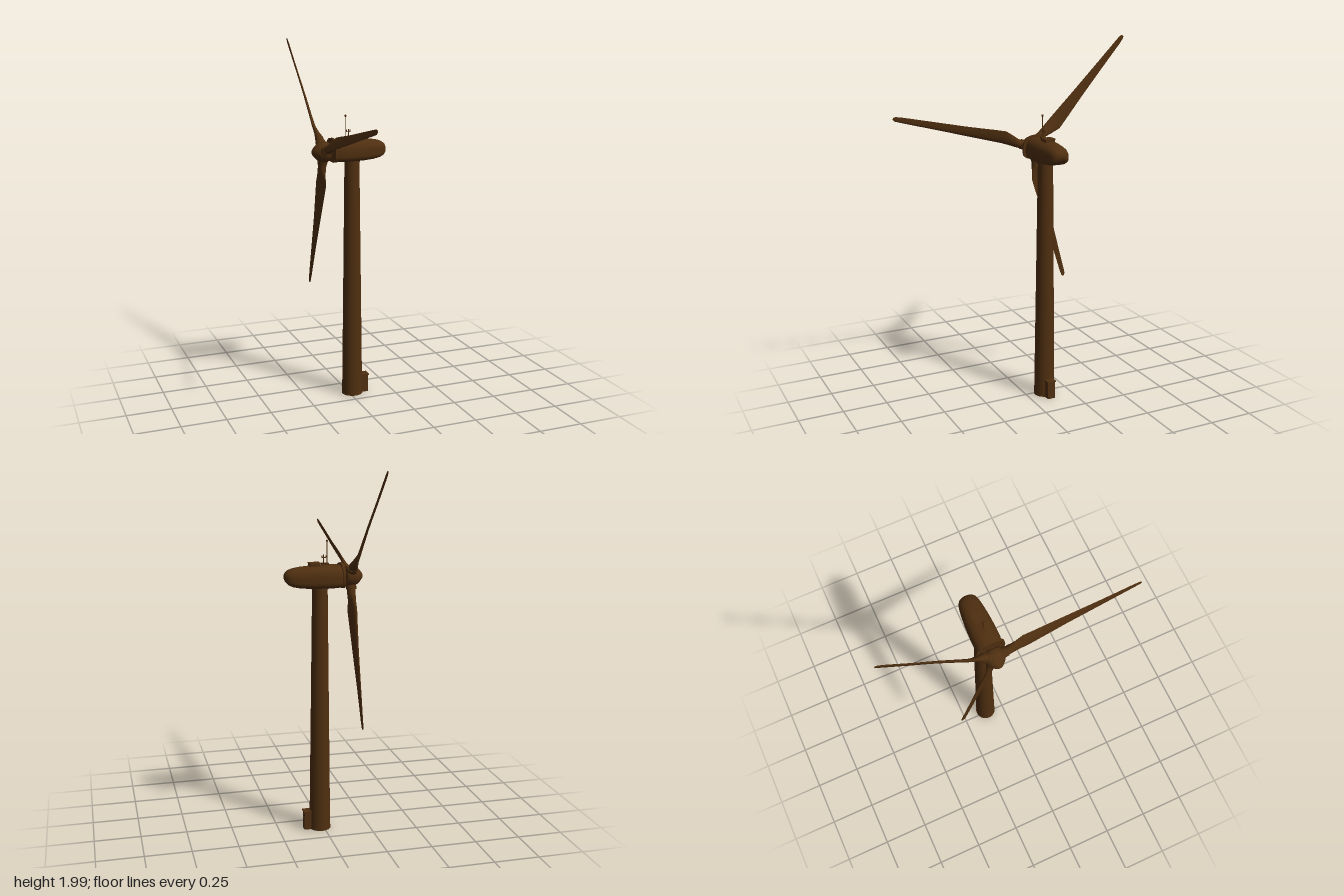
import * as THREE from 'three';

const brown = new THREE.MeshStandardMaterial({ color: 0x4f2f10 });
brown.name = 'dark brown';

const AX_Z = -0.107; // tower and rotor axis offset
const HUB_Y = 1.412;

function add(parent, name, geometry, x = 0, y = 0, z = 0) {
  const mesh = new THREE.Mesh(geometry, brown);
  mesh.name = name;
  mesh.position.set(x, y, z);
  parent.add(mesh);
  return mesh;
}

const box = (w, h, d) => new THREE.BoxGeometry(w, h, d);
const cyl = (top, bottom, h, n = 24) => new THREE.CylinderGeometry(top, bottom, h, n);

// Skin closed cross-sections stacked along +z, with flat end caps
function loft(rings) {
  const n = rings[0].length, pos = [], idx = [];
  rings.forEach(ring => ring.forEach(p => pos.push(...p)));
  for (let i = 0; i < rings.length - 1; i++) {
    for (let j = 0; j < n; j++) {
      const k = (j + 1) % n, a = i * n + j, b = i * n + k;
      idx.push(a, b, b + n, a, b + n, a + n);
    }
  }
  [rings[0], rings[rings.length - 1]].forEach((ring, end) => {
    const base = pos.length / 3;
    ring.forEach(p => pos.push(...p));
    for (let j = 1; j < n - 1; j++) {
      if (end) idx.push(base, base + j, base + j + 1);
      else idx.push(base, base + j + 1, base + j);
    }
  });
  const g = new THREE.BufferGeometry();
  g.setAttribute('position', new THREE.Float32BufferAttribute(pos, 3));
  g.setIndex(idx);
  g.computeVertexNormals();
  return g;
}

// Housing section: round roof, flatter belly
function housingRing(s, halfWidth, bottom, top, n = 40) {
  const mid = bottom + (top - bottom) * 0.45;
  return Array.from({ length: n }, (_, j) => {
    const a = j / n * Math.PI * 2, c = Math.cos(a), v = Math.sin(a);
    const e = v < 0 ? 0.55 : 0.85;
    const px = Math.sign(c) * Math.abs(c) ** e * halfWidth;
    const py = Math.sign(v) * Math.abs(v) ** e;
    return [px, mid + py * (v > 0 ? top - mid : mid - bottom), s];
  });
}

// Blade section: r, leading edge, trailing edge, half thickness, x centre, twist slope, sharpness
function bladeRing([r, lead, trail, thick, cx, slope, sharp], n = 24) {
  const half = (trail - lead) / 2, mid = (trail + lead) / 2;
  return Array.from({ length: n }, (_, j) => {
    const a = j / n * Math.PI * 2, v = Math.sin(a);
    return [
      cx + Math.cos(a) * thick * (1 - sharp * (v + 1) / 2) + slope * v * half,
      mid + v * half, r];
  });
}

function createTower() {
  const g = new THREE.Group();
  g.name = 'tower';
  add(g, 'towerShaft', cyl(0.041, 0.058, 1.37, 40), 0.02, 0.685, AX_Z);
  add(g, 'towerFoot', cyl(0.06, 0.06, 0.008, 40), 0.02, 0.004, AX_Z);
  add(g, 'towerTopRing', cyl(0.045, 0.045, 0.012, 40), 0.02, 1.355, AX_Z);
  // Entrance cabin
  add(g, 'entranceCabin', box(0.055, 0.1, 0.044), 0.083, 0.05, AX_Z);
  add(g, 'entranceRoof', box(0.06, 0.007, 0.052), 0.085, 0.103, AX_Z);
  add(g, 'entranceDoor', box(0.004, 0.066, 0.028), 0.112, 0.035, AX_Z);
  return g;
}

function createNacelle() {
  const g = new THREE.Group();
  g.name = 'nacelle';
  // x, half width, bottom, top
  const sections = [
    [-0.088, 0.066, 1.357, 1.474], [-0.06, 0.071, 1.355, 1.477], [0.0, 0.071, 1.355, 1.477],
    [0.07, 0.068, 1.356, 1.475], [0.13, 0.062, 1.361, 1.47], [0.17, 0.056, 1.369, 1.463],
    [0.19, 0.049, 1.378, 1.455], [0.203, 0.038, 1.391, 1.445], [0.21, 0.022, 1.406, 1.434],
    [0.212, 0.008, 1.416, 1.425]
  ].map(s => housingRing(...s));
  add(g, 'nacelleBody', loft(sections).rotateY(Math.PI / 2), 0, 0, AX_Z);
  const collar = [housingRing(-0.101, 0.079, 1.355, 1.485), housingRing(-0.088, 0.079, 1.355, 1.485)];
  add(g, 'frontCollar', loft(collar).rotateY(Math.PI / 2), 0, 0, AX_Z);

  // Roof hatch and instruments
  add(g, 'roofHatch', box(0.055, 0.016, 0.055), 0.05, 1.478, AX_Z);
  add(g, 'roofHatchLid', box(0.06, 0.004, 0.06), 0.05, 1.488, AX_Z);
  add(g, 'instrumentBase', box(0.036, 0.014, 0.022), -0.008, 1.48, AX_Z);
  add(g, 'tallMast', cyl(0.002, 0.002, 0.13, 8), -0.018, 1.54, AX_Z);
  add(g, 'mastBeacon', new THREE.SphereGeometry(0.006, 12, 8), -0.018, 1.602, AX_Z);
  add(g, 'shortMast', cyl(0.002, 0.002, 0.05, 8), 0.0, 1.505, AX_Z);
  add(g, 'windSensorArm', box(0.022, 0.003, 0.003), -0.002, 1.515, AX_Z);
  for (const x of [-0.012, 0.008]) add(g, 'windSensorCup', cyl(0.003, 0.003, 0.012, 8), x, 1.52, AX_Z);
  return g;
}

function createRotor() {
  const g = new THREE.Group();
  g.name = 'rotor';
  g.position.set(0, HUB_Y, AX_Z);
  // Hub and nose, turned around the x axis
  const profile = [
    [0, 0.115], [0.048, 0.115], [0.055, 0.125], [0.057, 0.145], [0.053, 0.165],
    [0.043, 0.182], [0.03, 0.196], [0.015, 0.208], [0, 0.213]
  ].map(p => new THREE.Vector2(...p));
  add(g, 'hub', new THREE.LatheGeometry(profile, 36).rotateZ(Math.PI / 2));
  add(g, 'mainShaft', cyl(0.021, 0.021, 0.05).rotateZ(Math.PI / 2), -0.105);

  const blade = loft([
    [0.03, -0.024, 0.024, 0.024, -0.146, 0, 0],
    [0.09, -0.023, 0.024, 0.023, -0.146, 0, 0],
    [0.13, -0.02, 0.038, 0.018, -0.147, 0.3, 0.4],
    [0.18, -0.017, 0.053, 0.014, -0.148, 0.45, 0.75],
    [0.23, -0.017, 0.05, 0.012, -0.149, 0.42, 0.8],
    [0.4, -0.016, 0.036, 0.009, -0.151, 0.36, 0.8],
    [0.6, -0.015, 0.024, 0.006, -0.156, 0.25, 0.8],
    [0.77, -0.015, 0.014, 0.004, -0.159, 0.12, 0.7],
    [0.803, -0.014, 0.01, 0.003, -0.16, 0.1, 0.6],
    [0.815, -0.008, 0.004, 0.002, -0.16, 0.1, 0.5]
  ].map(s => bladeRing(s)));
  for (let i = 0; i < 3; i++) {
    const arm = new THREE.Group();
    arm.name = 'bladeArm' + (i + 1);
    arm.rotation.x = -THREE.MathUtils.degToRad(15 + i * 120);
    add(arm, 'blade', blade);
    add(arm, 'bladeCollar', cyl(0.027, 0.029, 0.04).rotateX(Math.PI / 2), -0.146, 0, 0.05);
    g.add(arm);
  }
  return g;
}

export function createModel() {
  const model = new THREE.Group();
  model.name = 'windTurbine';
  model.add(createTower(), createNacelle(), createRotor());
  return model;
}
